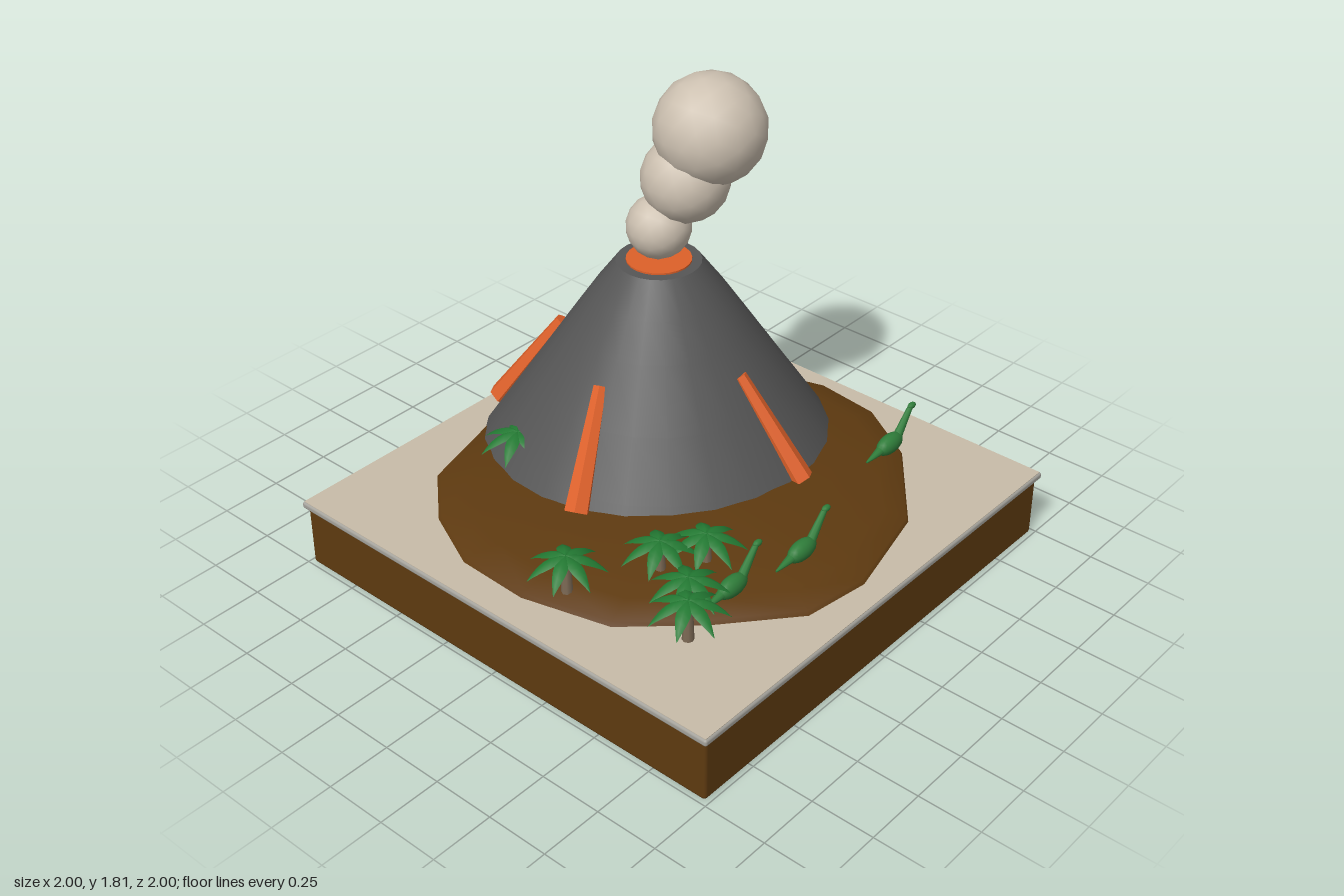
import * as THREE from 'three';
import { RoundedBoxGeometry } from 'three/addons/geometries/RoundedBoxGeometry.js';

function material(name, color, extra = {}) {
  const m = new THREE.MeshStandardMaterial({ color, ...extra });
  m.name = name;
  return m;
}

function add(parent, name, geometry, mat, x = 0, y = 0, z = 0) {
  const mesh = new THREE.Mesh(geometry, mat);
  mesh.name = name;
  mesh.position.set(x, y, z);
  parent.add(mesh);
  return mesh;
}

// Low dome whose rings shrink an irregular outline towards a centre
function moundGeometry() {
  const outline = [
    [-0.2, -0.84], [-0.55, -0.74], [-0.74, -0.53], [-0.86, -0.27], [-0.87, 0.03], [-0.78, 0.38],
    [-0.55, 0.63], [-0.28, 0.86], [-0.01, 0.9], [0.4, 0.8], [0.75, 0.52], [0.9, 0.27],
    [0.93, 0], [0.87, -0.2], [0.65, -0.48], [0.25, -0.75]];
  const rings = [[1, 0.28], [0.985, 0.3], [0.86, 0.33], [0.6, 0.355], [0.3, 0.375], [0, 0.38]];
  const cx = 0, cz = 0.2, n = outline.length, pos = [], idx = [];
  for (const [s, y] of rings)
    for (const [x, z] of outline) pos.push(cx + (x - cx) * s, y, cz + (z - cz) * s);
  for (let r = 0; r < rings.length - 1; r++)
    for (let i = 0; i < n; i++) {
      const a = r * n + i, b = r * n + (i + 1) % n;
      idx.push(a, b, a + n, b, b + n, a + n);
    }
  const g = new THREE.BufferGeometry();
  g.setAttribute('position', new THREE.Float32BufferAttribute(pos, 3));
  g.setIndex(idx);
  g.computeVertexNormals();
  return g;
}

// Pointed leaf that arches along +x, with a raised midrib
function leafGeometry() {
  const steps = 6, pos = [], idx = [];
  for (let i = 0; i <= steps; i++) {
    const t = i / steps;
    const w = 0.026 * Math.sin(Math.PI * Math.pow(t, 0.75));
    const y = 0.03 * t - 0.1 * t * t;
    pos.push(0.15 * t, y - w * 0.5, -w, 0.15 * t, y, 0, 0.15 * t, y - w * 0.5, w);
    if (i < steps)
      for (let k = 0; k < 2; k++) {
        const a = i * 3 + k;
        idx.push(a, a + 1, a + 3, a + 1, a + 4, a + 3);
      }
  }
  const g = new THREE.BufferGeometry();
  g.setAttribute('position', new THREE.Float32BufferAttribute(pos, 3));
  g.setIndex(idx);
  g.computeVertexNormals();
  return g;
}

// Mesh with its local y axis running from one point to another
function between(parent, name, from, to, rFrom, rTo, sides, mat) {
  const a = new THREE.Vector3(...from), b = new THREE.Vector3(...to);
  const d = b.clone().sub(a);
  const mesh = add(parent, name, new THREE.CylinderGeometry(rTo, rFrom, d.length(), sides), mat);
  mesh.position.copy(a).add(b).multiplyScalar(0.5);
  mesh.quaternion.setFromUnitVectors(new THREE.Vector3(0, 1, 0), d.normalize());
  return mesh;
}

export function createModel() {
  const model = new THREE.Group();
  model.name = 'volcanoDiorama';
  const earth = material('earth', 0x5e3a10);
  const sand = material('sand', 0xc8bca8);
  const rim = material('rim', 0xa3a19a);
  const rock = material('rock', 0x565656, { side: THREE.DoubleSide });
  const lava = material('lava', 0xdd6029);
  const lavaFlat = lava.clone();
  lavaFlat.flatShading = true;
  const smoke = material('smoke', 0xcdc1b1);
  const leafGreen = material('leafGreen', 0x237a33, { side: THREE.DoubleSide });
  const skinGreen = material('skinGreen', 0x2f7d3a);
  const bark = material('bark', 0x7d6a55);

  // Base block with a thin sandy tray on top
  add(model, 'baseBlock', new RoundedBoxGeometry(1.97, 0.26, 1.97, 2, 0.015), earth, 0, 0.13, 0);
  add(model, 'trayRim', new RoundedBoxGeometry(2, 0.028, 2, 2, 0.01), rim, 0, 0.268, 0);
  add(model, 'sandTop', new THREE.BoxGeometry(1.985, 0.004, 1.985), sand, 0, 0.282, 0);
  add(model, 'mound', moundGeometry(), earth);

  // Volcano
  const vx = 0.21, vz = -0.267;
  const profile = [[0.7, 0.293], [0.63, 0.4], [0.49, 0.61], [0.345, 0.83], [0.255, 0.965], [0.163, 1.09]];
  add(model, 'volcanoCone', new THREE.LatheGeometry(
    profile.map(([r, y]) => new THREE.Vector2(r, y)), 24), rock, vx, 0, vz);
  const craterRim = add(model, 'craterRim', new THREE.RingGeometry(0.1, 0.163, 24), rock, vx, 1.09, vz);
  craterRim.rotation.x = -Math.PI / 2;
  add(model, 'craterLava', new THREE.CylinderGeometry(0.125, 0.125, 0.016, 24), lava, vx, 1.089, vz);

  // Lava streams running down the slopes: upper x, z then lower x, z
  const streams = [
    [0.212, 0.13, 0.27, 0.39], [-0.18, -0.212, -0.44, -0.1],
    [0.075, -0.65, -0.06, -0.88], [0.575, -0.46, 0.77, -0.65]];
  for (const [x1, z1, x2, z2] of streams)
    between(model, 'lavaStream', [x2, 0.355, z2], [x1, 0.735, z1], 0.05, 0.028, 6, lavaFlat);

  // Smoke puffs
  const puffs = [[0.21, 1.23, -0.267, 0.125], [0.295, 1.415, -0.21, 0.17], [0.37, 1.603, -0.157, 0.215]];
  for (const [x, y, z, r] of puffs)
    add(model, 'smokePuff', new THREE.IcosahedronGeometry(r, 2), smoke, x, y, z);

  // Palms
  const leaf = leafGeometry();
  const palms = [
    [-0.76, 0.155], [-0.48, 0.345], [-0.34, 0.44], [-0.57, 0.555], [-0.665, 0.635], [-0.32, -0.52]];
  palms.forEach(([x, z]) => {
    const palm = new THREE.Group();
    palm.name = 'palm';
    palm.position.set(x, 0.3, z);
    add(palm, 'trunk', new THREE.CylinderGeometry(0.016, 0.022, 0.16, 8), bark, 0, 0.08, 0);
    for (let k = 0; k < 7; k++)
      add(palm, 'leaf', leaf, leafGreen, 0, 0.17, 0).rotation.y = k * Math.PI * 2 / 7;
    model.add(palm);
  });

  // Long-necked animals facing +x
  for (const [x, z] of [[-0.43, 0.635], [-0.11, 0.69], [0.64, 0.53]]) {
    const animal = new THREE.Group();
    animal.name = 'longNeckedAnimal';
    animal.position.set(x, 0.39, z);
    add(animal, 'body', new THREE.SphereGeometry(1, 16, 10), skinGreen).scale.set(0.074, 0.04, 0.034);
    between(animal, 'neck', [0.05, 0.01, 0], [0.125, 0.105, 0], 0.019, 0.011, 8, skinGreen);
    add(animal, 'head', new THREE.SphereGeometry(1, 10, 8), skinGreen, 0.135, 0.109, 0).scale.set(0.022, 0.012, 0.013);
    between(animal, 'tail', [-0.05, 0, 0], [-0.145, -0.012, 0], 0.02, 0.004, 8, skinGreen);
    model.add(animal);
  }
  return model;
}
